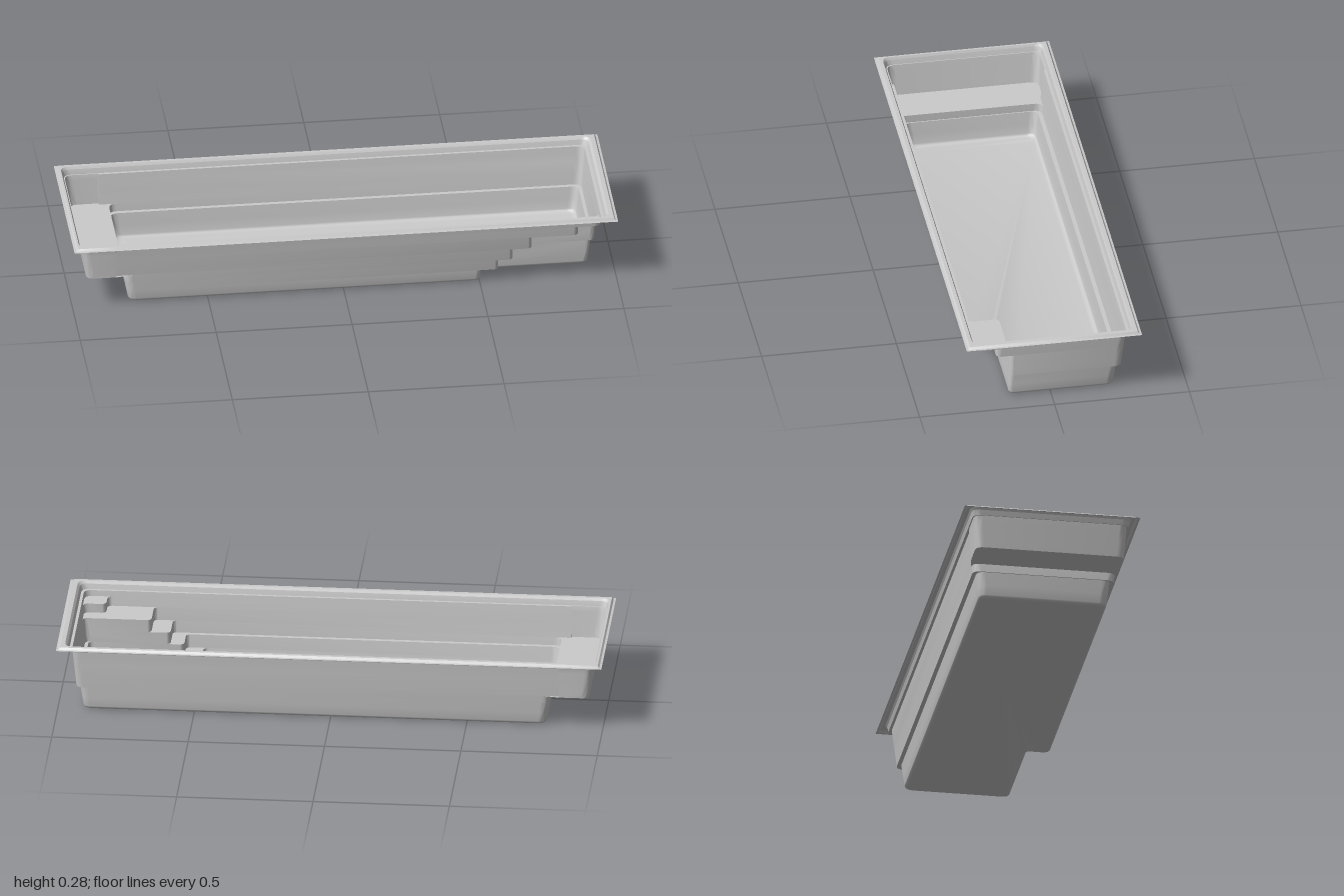
import * as THREE from 'three';
import { toCreasedNormals } from 'three/addons/utils/BufferGeometryUtils.js';

const SEG = 6;
const material = new THREE.MeshStandardMaterial({ color: 0xcccccc, side: THREE.DoubleSide });

// Horizontal outline of the basin at height y, always with the same number of points.
// l, r: end walls; w: half width; W: half width of the bench bay left of x = j;
// sx, sz: inner corner of the stair block (omit for none); R, q: corner radii.
function outline({ y, l, r, w, W = w, R = 0.03, j = l + R, sx, sz, q = 0.02 }) {
  const stair = sx !== undefined;
  const corners = [
    [r, -w, R], [j, -w, 0], [j, -W, 0], [l, -W, R],
    [l, W, R], [j, W, 0], [j, w, 0],
    ...(stair ? [[sx, w, q], [sx, sz, q], [r, sz, q]] : [[r - R, w, 0], [r, w, R], [r, w - R, 0]]),
  ].map(([x, z, rad]) => ({ p: new THREE.Vector2(x, z), rad }));
  const points = [];
  corners.forEach(({ p, rad }, i) => {
    const n = corners.length;
    const toward = (k) => corners[k % n].p.clone().sub(p).normalize().multiplyScalar(rad).add(p);
    const curve = new THREE.QuadraticBezierCurve(toward(i + n - 1), p, toward(i + 1));
    for (let s = 0; s <= SEG; s++) {
      const c = rad ? curve.getPoint(s / SEG) : p;
      points.push(new THREE.Vector3(c.x, y, c.y));
    }
  });
  return points;
}

// Skin successive outlines, optionally closing the first one with a floor.
function loft(name, levels, withFloor = false) {
  const rings = levels.map(outline);
  const pos = [];
  const normal = new THREE.Vector3();
  const tri = (a, b, c, down = false) => {
    normal.subVectors(b, a).cross(c.clone().sub(a));
    if (normal.length() < 1e-9) return;
    const order = down && normal.y > 0 ? [a, c, b] : [a, b, c];
    order.forEach((v) => pos.push(v.x, v.y, v.z));
  };
  for (let k = 0; k < rings.length - 1; k++) {
    const lo = rings[k], hi = rings[k + 1];
    lo.forEach((a, i) => {
      const n = (i + 1) % lo.length;
      tri(a, lo[n], hi[n]);
      tri(a, hi[n], hi[i]);
    });
  }
  if (withFloor) {
    const flat = rings[0].map((v) => new THREE.Vector2(v.x, v.z));
    THREE.ShapeUtils.triangulateShape(flat, []).forEach(([a, b, c]) =>
      tri(rings[0][a], rings[0][b], rings[0][c], true));
  }
  const geometry = new THREE.BufferGeometry();
  geometry.setAttribute('position', new THREE.Float32BufferAttribute(pos, 3));
  const mesh = new THREE.Mesh(toCreasedNormals(geometry, 0.6), material);
  mesh.name = name;
  return mesh;
}

const mix = THREE.MathUtils.lerp;

// Sloping walls of the lower basin (y 0 to 0.097)
function lower(y, extra) {
  const t = y / 0.097;
  return { y, l: mix(-0.79, -0.802, t), r: mix(0.907, 0.92, t), w: mix(0.236, 0.247, t), ...extra };
}

// Sloping walls of the upper basin (y 0.097 to 0.247); the bench bay opens above y 0.127
function upper(y, bay, extra) {
  const t = (y - 0.097) / 0.15;
  const wall = { y, l: -0.806, r: mix(0.932, 0.946, t), w: mix(0.262, 0.278, t) };
  if (bay) {
    const b = (y - 0.127) / 0.12;
    Object.assign(wall, { l: mix(-0.95, -0.967, b), W: mix(0.275, 0.284, b), j: -0.84 });
  }
  return { ...wall, ...extra };
}

export function createModel() {
  const group = new THREE.Group();
  group.name = 'poolShell';

  // Corner stairs, bottom to top
  const steps = [
    { sx: 0.505, sz: 0.153 }, { sx: 0.57, sz: 0.153 }, { sx: 0.62, sz: 0.153 },
    { sx: 0.69, sz: 0.153 }, { sx: 0.86, sz: 0.205 },
  ];

  // Lower basin: floor, rounded floor edge, walls and first two steps
  const fillet = 0.012;
  const edge = [0, 1, 2, 3, 4].map((i) => {
    const a = (i / 4) * Math.PI / 2;
    const d = fillet * (1 - Math.sin(a));
    const s = lower(fillet * (1 - Math.cos(a)), steps[0]);
    return { ...s, l: s.l + d, r: s.r - d, w: s.w - d, sx: s.sx - d, sz: s.sz - d };
  });
  group.add(loft('lowerBasin', [
    ...edge,
    lower(0.048, steps[0]), lower(0.048, steps[1]),
    lower(0.097, steps[1]), upper(0.097, false, steps[2]),
  ], true));

  // Upper basin: walls, bench bay, remaining steps and the shoulder under the rim
  group.add(loft('upperBasin', [
    upper(0.097, false, steps[2]),
    upper(0.127, false, steps[2]), upper(0.127, true, steps[2]),
    upper(0.142, true, steps[2]), upper(0.142, true, steps[3]),
    upper(0.19, true, steps[3]), upper(0.19, true, steps[4]),
    upper(0.225, true, steps[4]), upper(0.225, true),
    upper(0.247, true),
    { y: 0.247, l: -0.97, r: 0.956, w: 0.288, j: -0.84 },
    { y: 0.266, l: -0.975, r: 0.962, w: 0.293, j: -0.84 },
  ]));

  // Raised rim with a thin outer flange
  group.add(loft('rim', [
    { y: 0.266, l: -0.975, r: 0.962, w: 0.293, j: -0.84 },
    { y: 0.275, l: -0.979, r: 0.97, w: 0.298, j: -0.84 },
    { y: 0.275, l: -0.986, r: 0.986, w: 0.311, j: -0.84, R: 0.003 },
    { y: 0.267, l: -0.992, r: 0.992, w: 0.317, j: -0.84, R: 0.003 },
    { y: 0.266, l: -1, r: 1, w: 0.325, j: -0.84, R: 0.002 },
  ]));
  return group;
}
